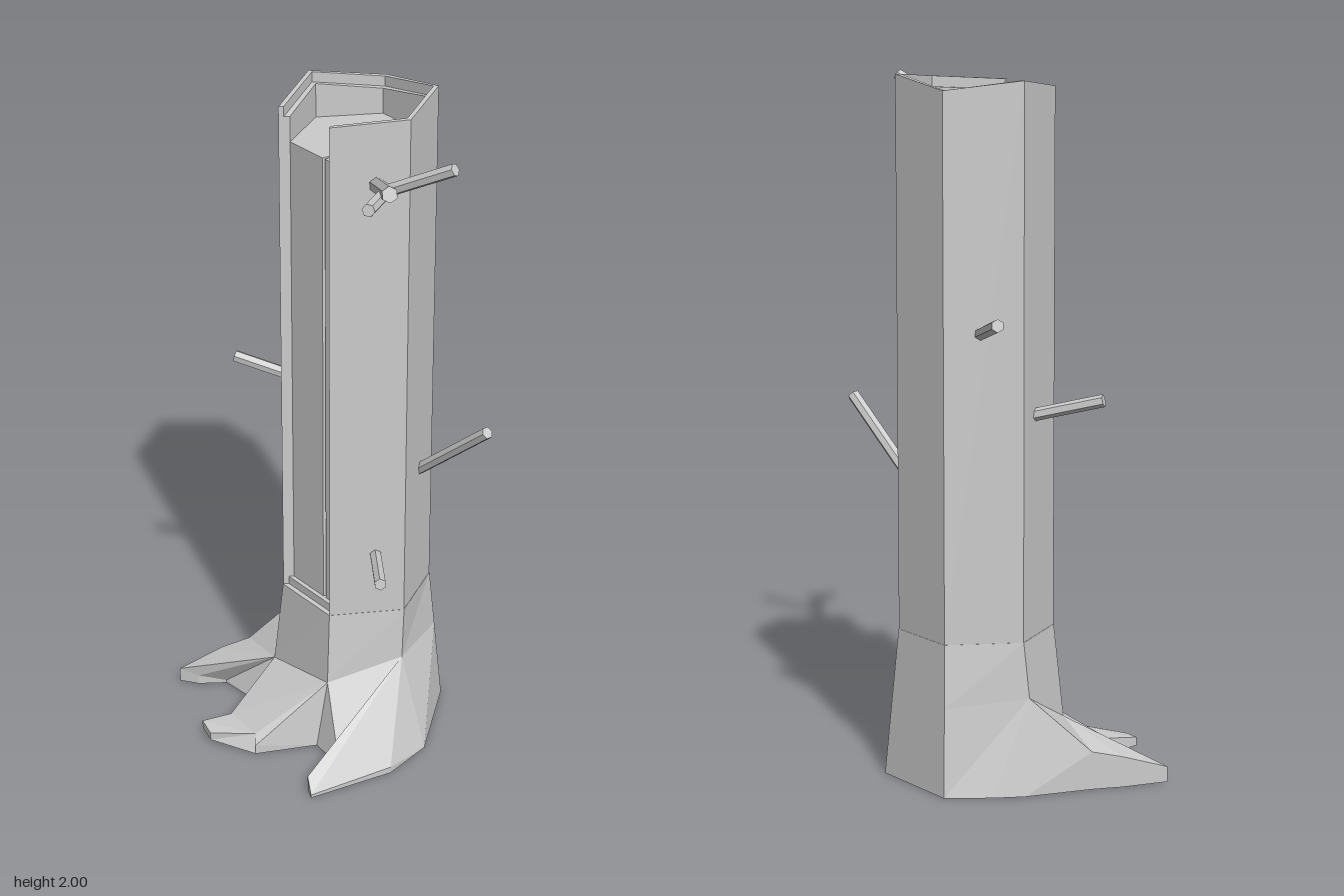
import * as THREE from 'three';

const CX = -0.063, CZ = -0.13;
const material = new THREE.MeshStandardMaterial({ color: 0xcccccc, flatShading: true, side: THREE.DoubleSide });

// Corners run right, front right, front left, left, back left, back right
const corner = (i, r, y) => {
  const a = (i % 6) * Math.PI / 3;
  return [CX + r * Math.cos(a), y, CZ + r * Math.sin(a)];
};

function mesh(name, geometry) {
  const m = new THREE.Mesh(geometry, material);
  m.name = name;
  return m;
}

function fromTriangles(name, tris) {
  const g = new THREE.BufferGeometry();
  g.setAttribute('position', new THREE.Float32BufferAttribute(tris.flat(2), 3));
  g.computeVertexNormals();
  return mesh(name, g);
}

// Bark: five sides of a hexagon with an uneven stepped rim, open at the front
function makeBark() {
  const tops = [1.985, 1.975, 1.965, 1.99, 1.965, 2.0];
  const tris = [];
  const profile = (i) => {
    const t = tops[i % 6];
    return [[0.222, 0.43], [0.222, t], [0.207, t], [0.207, t - 0.03], [0.19, t - 0.03], [0.19, 0.43]]
      .map(([r, y]) => corner(i, r, y));
  };
  for (let i = 2; i < 7; i++) {
    const a = profile(i), b = profile(i + 1);
    for (let p = 0; p < 5; p++) {
      tris.push([a[p + 1], b[p + 1], b[p]], [a[p + 1], b[p], a[p]]);
    }
  }
  // Cut edges beside the opening
  for (const i of [1, 2]) {
    const p = profile(i);
    for (const [a, b] of [[4, 5], [5, 0], [0, 1], [1, 2]]) {
      tris.push(i === 1 ? [p[3], p[a], p[b]] : [p[3], p[b], p[a]]);
    }
  }
  return fromTriangles('bark', tris);
}

// Inner wood: hexagonal core with a long crack in its front face
function makeCore() {
  const shape = new THREE.Shape();
  const pts = [];
  for (let i = 0; i < 6; i++) {
    const [x, , z] = corner(i, 0.19, 0);
    pts.push([x, z]);
    if (i === 1) pts.push([-0.004, z], [-0.010, z - 0.035], [-0.016, z]);
  }
  pts.forEach(([x, z], i) => (i ? shape.lineTo(x, -z) : shape.moveTo(x, -z)));
  const g = new THREE.ExtrudeGeometry(shape, { depth: 1.43, bevelEnabled: false });
  g.rotateX(-Math.PI / 2).translate(0, 0.43, 0);
  return mesh('woodCore', g);
}

// Sill below the bare wood
function makeSill() {
  const s = new THREE.Shape();
  s.moveTo(-0.18, 0.428);
  s.lineTo(0.05, 0.428);
  s.lineTo(0.05, 0.44);
  s.lineTo(0.035, 0.455);
  s.lineTo(-0.165, 0.455);
  s.lineTo(-0.18, 0.44);
  const g = new THREE.ExtrudeGeometry(s, { depth: 0.02, bevelEnabled: false });
  return mesh('sill', g.translate(0, 0, 0.028));
}

// Flared base: hexagon, shoulder ring, then an outline that spreads into roots
function makeBase() {
  const shoulder = [
    [0.165, 0.27, -0.12], [0.06, 0.205, 0.08], [-0.2, 0.16, 0.08],
    [-0.3, 0.27, -0.12], [-0.19, 0.25, -0.335], [0.062, 0.25, -0.335],
  ];
  // x, y, z and the shoulder corner each point hangs from
  const crest = [
    [0.275, 0, -0.12, 0], [0.31, 0.02, 0.04, 0], [0.26, 0.01, 0.3, 0], [0.225, 0.05, 0.285, 0],
    [0.19, 0.01, 0.14, 1], [0.065, 0, 0.125, 1],
    [-0.015, 0.03, 0.295, 1], [-0.035, 0.055, 0.28, 1], [-0.17, 0.05, 0.27, 2],
    [-0.2, 0, 0.125, 2], [-0.37, 0.01, 0.14, 2], [-0.42, 0.03, 0.21, 2],
    [-0.47, 0.045, 0.245, 2], [-0.43, 0.09, 0.11, 2], [-0.395, 0.11, 0.03, 3],
    [-0.335, 0, -0.16, 3], [-0.29, 0, -0.24, 3], [-0.21, 0, -0.352, 4], [0.08, 0, -0.352, 5],
  ];
  const tris = [];
  const top = shoulder.map((_, i) => corner(i, 0.223, 0.43));
  for (let i = 0; i < 6; i++) {
    const j = (i + 1) % 6;
    tris.push([top[i], top[j], shoulder[j]], [top[i], shoulder[j], shoulder[i]]);
    tris.push([[CX, 0.43, CZ], top[j], top[i]]);
  }
  const ground = crest.map(([x, , z]) => [x, 0, z]);
  crest.forEach((c, i) => {
    const j = (i + 1) % crest.length, d = crest[j];
    const p = c.slice(0, 3), q = d.slice(0, 3);
    if (c[3] !== d[3]) tris.push([shoulder[c[3]], shoulder[d[3]], q]);
    tris.push([shoulder[c[3]], q, p]);
    if (c[1] || d[1]) tris.push([p, q, ground[j]], [p, ground[j], ground[i]]);
  });
  const outline = ground.map(([x, , z]) => new THREE.Vector2(x, z));
  for (const f of THREE.ShapeUtils.triangulateShape(outline, [])) tris.push(f.map((k) => ground[k]));
  return fromTriangles('rootBase', tris);
}

// Upturned tip of the front root
function makeRootTip() {
  const upper = [[-0.035, 0.055, 0.28], [-0.14, 0.04, 0.37], [-0.2, 0.045, 0.355], [-0.17, 0.05, 0.27]];
  const lower = [[-0.015, 0, 0.295], [-0.14, 0.015, 0.37], [-0.2, 0.02, 0.355], [-0.17, 0, 0.27]];
  const tris = [
    [upper[0], upper[3], upper[2]], [upper[0], upper[2], upper[1]],
    [lower[0], lower[1], lower[2]], [lower[0], lower[2], lower[3]],
  ];
  for (let i = 0; i < 3; i++) {
    tris.push([upper[i], upper[i + 1], lower[i + 1]], [upper[i], lower[i + 1], lower[i]]);
  }
  return fromTriangles('frontRootTip', tris);
}

// Six-sided stick between two points
function makeBranch(name, from, to, radius = 0.018) {
  const a = new THREE.Vector3(...from), b = new THREE.Vector3(...to);
  const dir = b.clone().sub(a);
  const m = mesh(name, new THREE.CylinderGeometry(radius, radius, dir.length(), 6));
  m.position.copy(a).add(b).multiplyScalar(0.5);
  m.quaternion.setFromUnitVectors(new THREE.Vector3(0, 1, 0), dir.normalize());
  return m;
}

export function createModel() {
  const group = new THREE.Group();
  group.name = 'deadTree';
  group.add(makeBark(), makeCore(), makeSill(), makeBase(), makeRootTip());

  const branches = new THREE.Group();
  branches.name = 'branches';
  branches.add(
    makeBranch('topBranch', [0.1, 1.795, -0.06], [0.415, 1.935, 0.155], 0.022),
    makeBranch('topBackTwig', [0.28, 1.87, 0.045], [0.46, 1.97, -0.027]),
    makeBranch('topFrontTwig', [0.31, 1.885, 0.08], [0.418, 1.912, 0.228]),
    makeBranch('rightBackBranch', [0.09, 0.84, -0.24], [0.347, 1.06, -0.27]),
    makeBranch('rightFrontBranch', [0.11, 0.625, -0.06], [0.29, 0.66, 0.07]),
    makeBranch('leftFrontBranch', [-0.235, 1.062, -0.06], [-0.395, 1.112, 0.063]),
    makeBranch('leftBackBranch', [-0.21, 1.3, -0.225], [-0.465, 1.365, -0.355]),
  );
  group.add(branches);
  return group;
}
